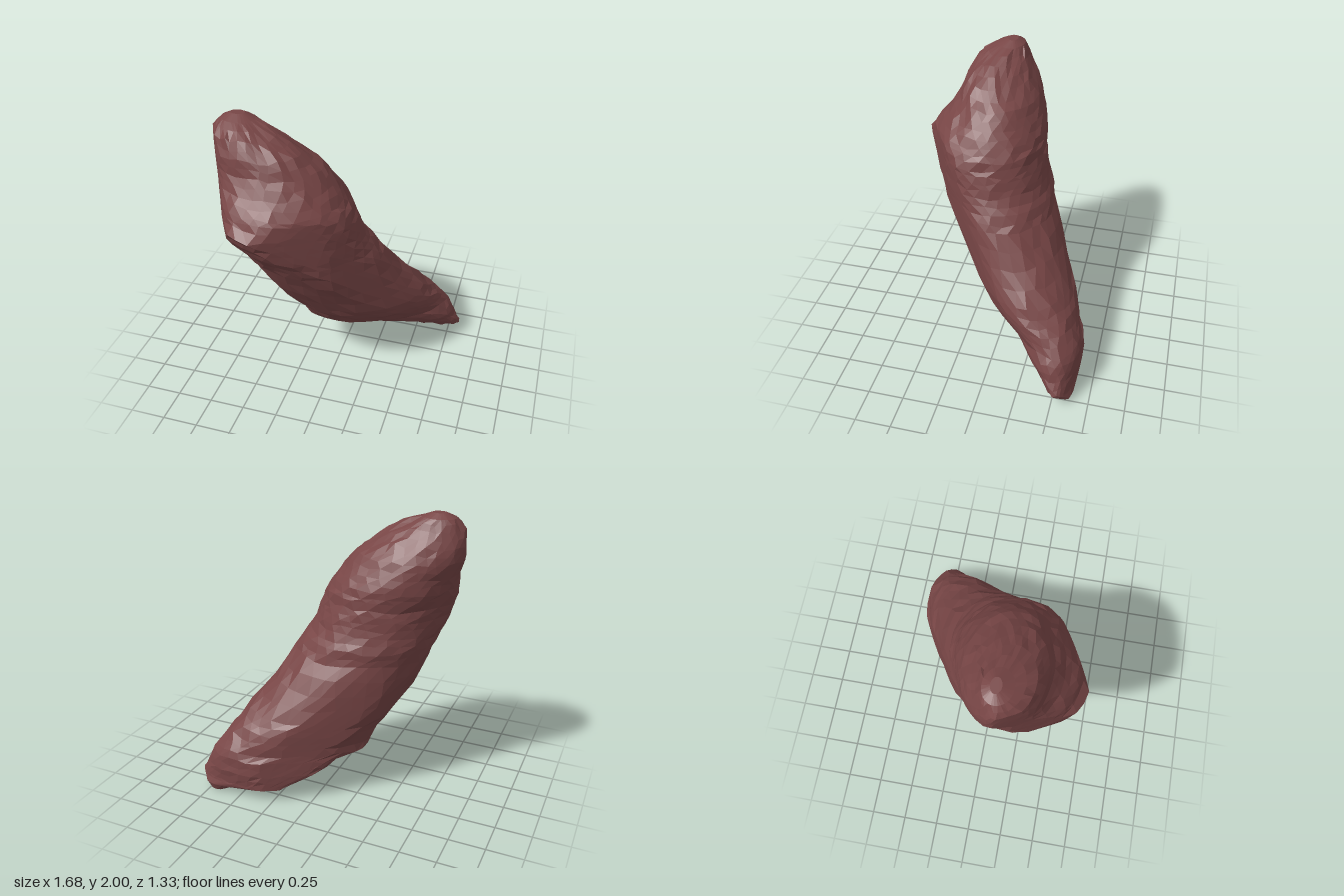
import * as THREE from 'three';

// Horizontal cross-sections: y, x min, x max, z min, z max, skew
// (negative skew leans the oval from front-left to back-right)
const sections = [
  [0.00, 0.66, 0.74, -0.62, -0.59, 0.0],
  [0.05, 0.55, 0.79, -0.64, -0.53, 0.0],
  [0.09, 0.20, 0.83, -0.65, -0.46, 0.1],
  [0.11, 0.17, 0.84, -0.65, -0.43, 0.1],
  [0.20, 0.00, 0.80, -0.66, -0.29, -0.15],
  [0.30, -0.13, 0.76, -0.65, -0.11, -0.4],
  [0.35, -0.28, 0.73, -0.63, 0.01, -0.56],
  [0.40, -0.29, 0.69, -0.61, 0.08, -0.48],
  [0.50, -0.33, 0.63, -0.57, 0.16, -0.34],
  [0.60, -0.41, 0.57, -0.51, 0.23, -0.28],
  [0.80, -0.53, 0.43, -0.41, 0.35, -0.18],
  [1.00, -0.61, 0.32, -0.31, 0.45, -0.1],
  [1.10, -0.65, 0.26, -0.29, 0.51, -0.07],
  [1.20, -0.69, 0.21, -0.25, 0.59, -0.06],
  [1.30, -0.73, 0.18, -0.23, 0.64, -0.08],
  [1.38, -0.76, 0.15, -0.21, 0.67, -0.1],
  [1.43, -0.77, 0.13, -0.21, 0.62, -0.08],
  [1.50, -0.78, 0.08, -0.20, 0.58, -0.04],
  [1.60, -0.79, 0.01, -0.17, 0.50, 0.0],
  [1.70, -0.83, -0.07, -0.13, 0.43, 0.05],
  [1.80, -0.84, -0.20, -0.07, 0.40, 0.1],
  [1.90, -0.82, -0.36, -0.01, 0.34, 0.1],
  [1.97, -0.76, -0.53, 0.03, 0.22, 0.05],
  [2.00, -0.70, -0.60, 0.08, 0.15, 0.0],
];
const SIDES = 30;

// Flattened flanks: outward normal and distance from the origin
const flanks = [
  [new THREE.Vector3(0.707, 0, 0.707), 0.32], // front
  [new THREE.Vector3(-0.48, 0, -0.877), 0.4], // back
  [new THREE.Vector3(0.5, 0, 0.866), 0.385], // upper front
  [new THREE.Vector3(-0.88, 0, 0.475), 0.79], // beside the front lip
  [new THREE.Vector3(0.49, 0.567, -0.662), 0.9], // sloping upper back
];

// Small seeded generator for the rough surface
function makeRandom(seed) {
  return () => {
    seed = (seed * 16807) % 2147483647;
    return seed / 2147483647 - 0.5;
  };
}

// Add a ring halfway between sections that are far apart
function refine(list) {
  const out = [];
  list.forEach((s, i) => {
    out.push(s);
    const n = list[i + 1];
    if (n && n[0] - s[0] > 0.07) out.push(s.map((v, k) => (v + n[k]) / 2));
  });
  return out;
}

// Press points that stick out past a flank most of the way back to it
function flatten(point) {
  for (const [normal, limit] of flanks) {
    const excess = Math.max(0, point.dot(normal) - limit);
    point.addScaledVector(normal, -0.85 * excess);
  }
  return point;
}

function buildRock() {
  const random = makeRandom(77);
  const rings = refine(sections);
  const positions = [];
  const indices = [];

  rings.forEach(([y, x0, x1, z0, z1, skew], r) => {
    const cx = (x0 + x1) / 2, cz = (z0 + z1) / 2;
    const hx = (x1 - x0) / 2, hz = (z1 - z0) / 2;
    const phase = Math.asin(skew);
    const inner = r > 2 && r < rings.length - 2;
    for (let i = 0; i < SIDES; i++) {
      const t = ((i + (r % 2) * 0.5 + random() * 0.4) / SIDES) * Math.PI * 2;
      const k = 1 + random() * 0.025;
      const point = new THREE.Vector3(
        cx + hx * k * Math.cos(t),
        y + (inner ? random() * 0.025 : 0),
        cz + hz * k * Math.sin(t + phase),
      );
      positions.push(...flatten(point).toArray());
    }
  });

  // Side facets, with diagonals following the half-step between rings
  for (let r = 0; r < rings.length - 1; r++) {
    for (let i = 0; i < SIDES; i++) {
      const j = (i + 1) % SIDES;
      const a = r * SIDES + i, b = r * SIDES + j;
      const c = a + SIDES, d = b + SIDES;
      if (r % 2) indices.push(a, c, d, a, d, b);
      else indices.push(a, c, b, b, c, d);
    }
  }

  // Closing fans at the bottom and top tips
  const last = (rings.length - 1) * SIDES;
  for (let i = 1; i < SIDES - 1; i++) {
    indices.push(0, i, i + 1);
    indices.push(last, last + i + 1, last + i);
  }

  const geometry = new THREE.BufferGeometry();
  geometry.setAttribute('position', new THREE.Float32BufferAttribute(positions, 3));
  geometry.setIndex(indices);
  geometry.computeVertexNormals();
  return geometry;
}

export function createModel() {
  const group = new THREE.Group();
  group.name = 'leaningRock';
  const material = new THREE.MeshStandardMaterial({ color: 0x784646, flatShading: true });
  const rock = new THREE.Mesh(buildRock(), material);
  rock.name = 'rockBody';
  group.add(rock);
  return group;
}
